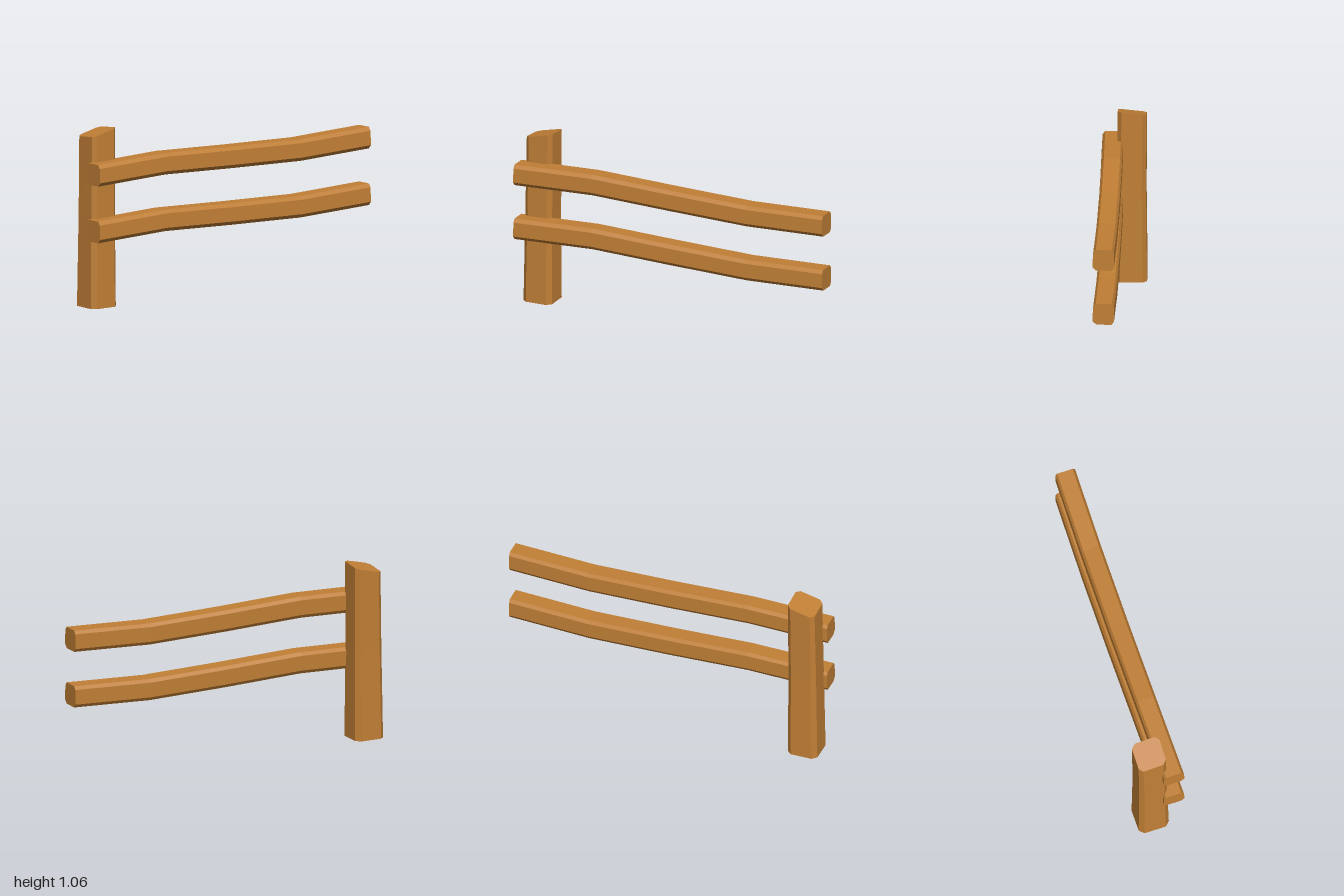
import * as THREE from 'three';

// Closed solid skinned over a series of rings; each ring runs counter-clockwise seen from the far end.
function loft(rings) {
  const pos = [];
  const tri = (...pts) => pts.forEach((p) => pos.push(...p));
  const n = rings[0].length;
  for (let i = 0; i < rings.length - 1; i++) {
    for (let j = 0; j < n; j++) {
      const k = (j + 1) % n;
      const a = rings[i][j], b = rings[i][k], c = rings[i + 1][k], d = rings[i + 1][j];
      tri(a, b, c);
      tri(a, c, d);
    }
  }
  const first = rings[0], last = rings[rings.length - 1];
  for (let j = 1; j < n - 1; j++) {
    tri(first[0], first[j + 1], first[j]);
    tri(last[0], last[j], last[j + 1]);
  }
  const geo = new THREE.BufferGeometry();
  geo.setAttribute('position', new THREE.Float32BufferAttribute(pos, 3));
  geo.computeVertexNormals();
  return geo;
}

// Rectangle with cut corners, counter-clockwise in (u, v)
function cutRect(u0, u1, v0, v1, c) {
  return [
    [u1, v0 + c], [u1, v1 - c], [u1 - c, v1], [u0 + c, v1],
    [u0, v1 - c], [u0, v0 + c], [u0 + c, v0], [u1 - c, v0],
  ];
}

export function createModel() {
  const group = new THREE.Group();
  const wood = new THREE.MeshStandardMaterial({ color: 0xc28036, flatShading: true });
  wood.name = 'wood';

  const add = (name, geo) => {
    const mesh = new THREE.Mesh(geo, wood);
    mesh.name = name;
    group.add(mesh);
    return mesh;
  };

  // Post: slightly tapered, with a slanted top
  const slant = (x, z) => 1.06 + 0.235 * (x + 0.8) + 0.1 * (z - 0.015);
  const postRing = (z0, z1, x0, x1, c, height) =>
    cutRect(z0, z1, x0, x1, c).map(([z, x]) => [x, height(x, z), z]);
  add('post', loft([
    postRing(-0.135, 0.051, -0.985, -0.8, 0.027, () => 0),
    postRing(-0.129, 0.043, -0.976, -0.802, 0.025, () => 0.55),
    postRing(-0.131, 0.038, -0.968, -0.8, 0.023, slant),
  ]));

  // Rails: slightly irregular cut-corner section (y, z) carried along a gentle wave
  const section = [
    [0.063, 0.02], [0.065, 0.115], [0.044, 0.13], [-0.041, 0.135],
    [-0.064, 0.113], [-0.066, 0.022], [-0.046, 0.008], [0.043, 0.008],
  ];
  const stations = [
    [-1, 0, 0], [-0.5, 0.015, -0.006], [0, -0.004, -0.008], [0.5, -0.018, -0.006], [1, 0, 0],
  ];
  const railGeo = loft(stations.map(([x, dy, dz]) => section.map(([y, z]) => [x, y + dy, z + dz])));
  add('upperRail', railGeo).position.y = 0.807;
  add('lowerRail', railGeo).position.y = 0.47;

  return group;
}
